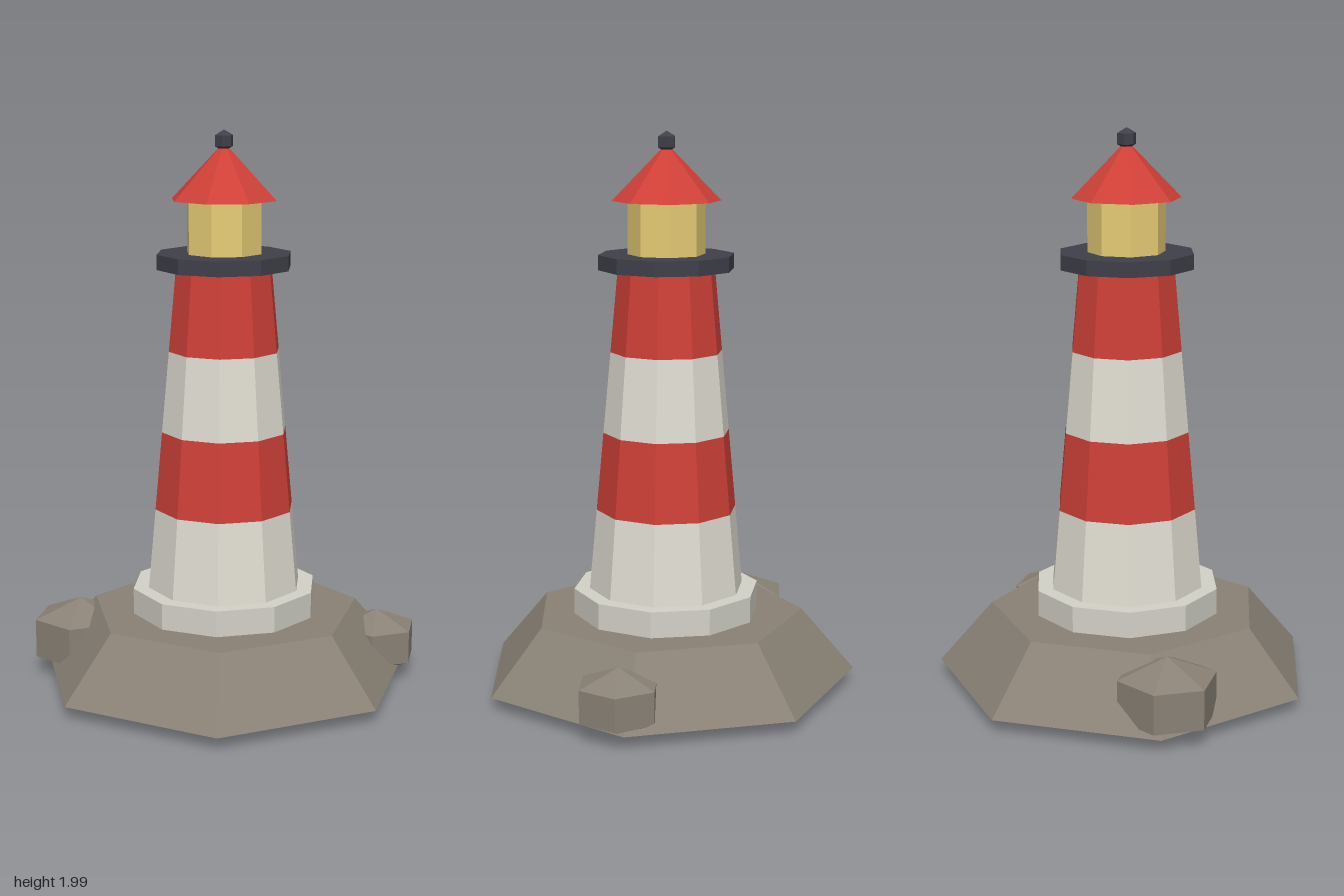
import * as THREE from 'three';

const paint = (name, color) => {
  const m = new THREE.MeshStandardMaterial({ color });
  m.name = name;
  return m;
};

// Faceted look: every face gets its own normal
const faceted = (geometry) => {
  const g = geometry.toNonIndexed();
  g.computeVertexNormals();
  return g;
};

export function createModel() {
  const white = paint('white', 0xe0ddd2);
  const stone = paint('pale stone', 0xd4d2c8);
  const red = paint('red', 0xcf4038);
  const yellow = paint('lamp yellow', 0xf2d67c);
  const rock = paint('rock', 0x8a8276);
  const dark = paint('dark metal', 0x40404a);

  const model = new THREE.Group();
  model.name = 'lighthouse';

  const cx = -0.026; // tower axis
  const add = (name, geometry, material, x, y, z) => {
    const mesh = new THREE.Mesh(faceted(geometry), material);
    mesh.name = name;
    mesh.position.set(x, y, z);
    model.add(mesh);
    return mesh;
  };

  // Tapered prism between two heights on the tower axis
  const prism = (name, material, y0, y1, r0, r1, sides, turn = 0) =>
    add(name, new THREE.CylinderGeometry(r1, r0, y1 - y0, sides, 1, false, turn),
      material, cx, (y0 + y1) / 2, 0);

  // Rocky island and boulders
  prism('island', rock, 0.057, 0.283, 0.684, 0.491, 7, Math.PI / 2);
  const boulder = (name, r, x, y, z) =>
    add(name, new THREE.SphereGeometry(r, 6, 3), rock, x, y, z).scale.set(1, 0.7, 1);
  boulder('rightBoulder', 0.2, -0.486, 0.15, 0.274);
  boulder('leftBoulder', 0.168, 0.36, 0.136, -0.411);

  // Plinth
  prism('plinth', stone, 0.283, 0.376, 0.334, 0.334, 10);

  // Striped tapering tower
  const bands = [0.376, 0.665, 0.945, 1.233, 1.525];
  const towerRadius = (y) => THREE.MathUtils.mapLinear(y, 0.376, 1.525, 0.278, 0.172);
  for (let i = 0; i < 4; i++) {
    const [y0, y1] = [bands[i], bands[i + 1]];
    prism('towerBand' + (i + 1), i % 2 ? red : white, y0, y1, towerRadius(y0), towerRadius(y1), 10);
  }

  // Gallery, lantern room, roof and finial
  prism('gallery', dark, 1.522, 1.575, 0.24, 0.24, 10);
  prism('lanternRoom', yellow, 1.575, 1.76, 0.136, 0.136, 8, Math.PI / 8);
  prism('roof', red, 1.76, 1.957, 0.191, 0, 8, Math.PI / 8);
  add('finial', new THREE.SphereGeometry(0.038, 6, 3), dark, cx, 1.962, 0);

  return model;
}
